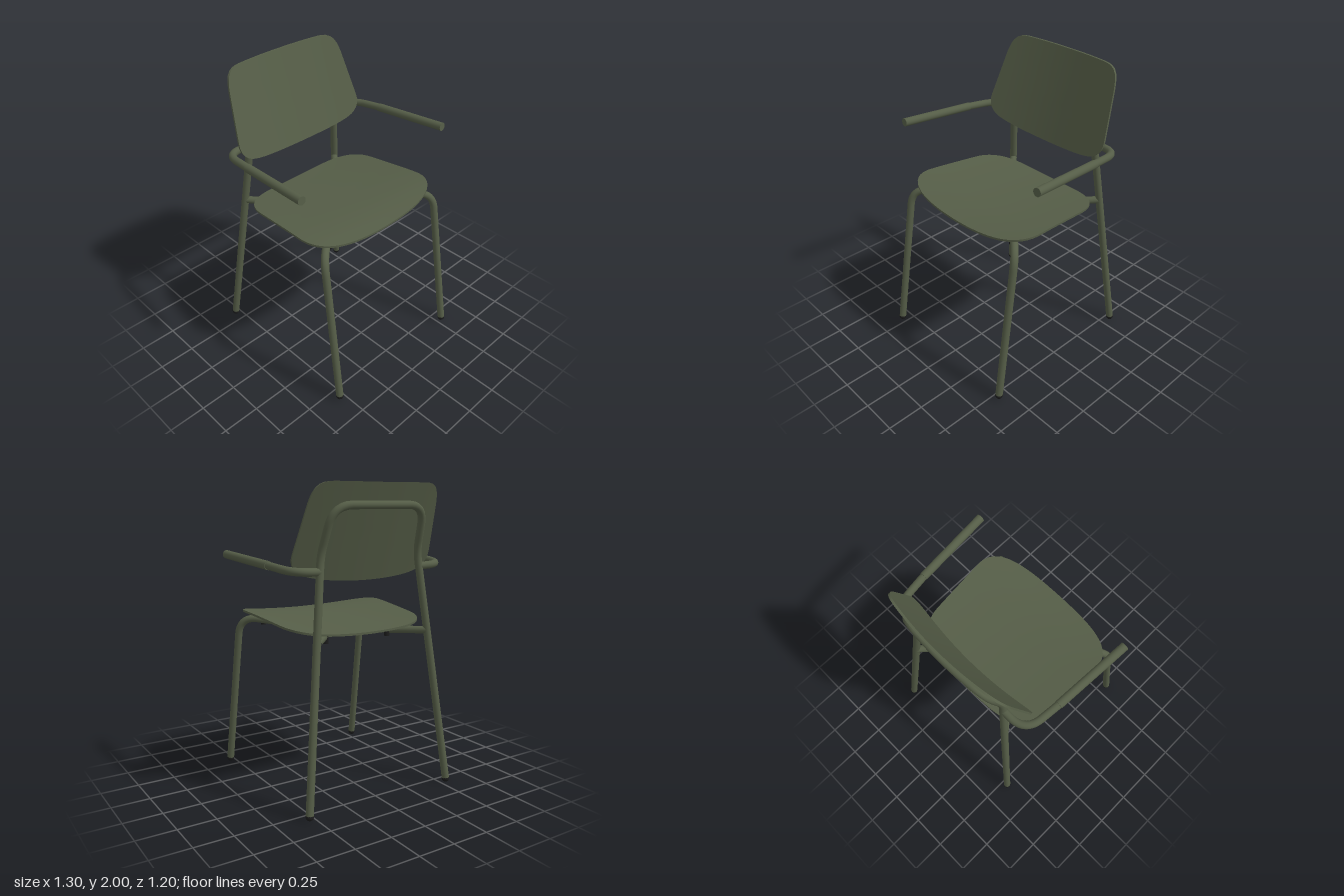
import * as THREE from 'three';
import { toCreasedNormals } from 'three/addons/utils/BufferGeometryUtils.js';
import { ParametricGeometry } from 'three/addons/geometries/ParametricGeometry.js';

const R = 0.025; // tube radius
const V = (x, y, z) => new THREE.Vector3(x, y, z);
const P = (x, y) => new THREE.Vector2(x, y);

const olive = new THREE.MeshStandardMaterial({ color: 0x555d47 });
const black = new THREE.MeshStandardMaterial({ color: 0x1c1c1c });

function add(group, name, geometry, material = olive) {
  const mesh = new THREE.Mesh(geometry, material);
  mesh.name = name;
  group.add(mesh);
  return mesh;
}

// Bent tube through corner points, each inner corner rounded by its bend length
function bentTube(points, bends) {
  const path = new THREE.CurvePath();
  let from = points[0];
  for (let i = 1; i < points.length - 1; i++) {
    const c = points[i];
    const toward = (p) => c.clone().add(p.clone().sub(c).setLength(bends[i - 1]));
    const a = toward(points[i - 1]), b = toward(points[i + 1]);
    path.add(new THREE.LineCurve3(from, a));
    path.add(new THREE.QuadraticBezierCurve3(a, c, b));
    from = b;
  }
  path.add(new THREE.LineCurve3(from, points[points.length - 1]));
  return new THREE.TubeGeometry(path, 140, R, 16);
}

// Capped straight rod between two points
function rod(a, b, radius) {
  const geo = new THREE.CylinderGeometry(radius, radius, a.distanceTo(b), 20);
  const dir = b.clone().sub(a).normalize();
  geo.applyQuaternion(new THREE.Quaternion().setFromUnitVectors(V(0, 1, 0), dir));
  const mid = a.clone().lerp(b, 0.5);
  return geo.translate(mid.x, mid.y, mid.z);
}

// Thin curved panel: half an outline is mirrored, filled with rings front and back,
// and place() bends each flat point (offset is the shift through the thickness)
function panel(curves, centre, place) {
  const half = new THREE.CurvePath();
  curves.forEach((c) => half.add(c));
  const pts = half.getSpacedPoints(48);
  const outline = [...pts, ...pts.slice(0, -1).reverse().map((p) => P(-p.x, p.y))];
  const n = outline.length - 1, rings = 7, rows = rings * 2 + 1;
  const geo = new ParametricGeometry((u, v, target) => {
    const p = outline[Math.round(u * n)];
    const row = Math.round(v * rows);
    const s = Math.min(row, rows - row) / rings;
    const offset = row <= rings ? -0.007 : 0.007;
    target.copy(place(p.x * s, centre + (p.y - centre) * s, offset));
  }, n, rows);
  return toCreasedNormals(geo, 0.6);
}

export function createModel() {
  const chair = new THREE.Group();
  chair.name = 'armchair';

  // Seat: outline in x and z, dished across and dropping to the back
  const seatLine = new THREE.SplineCurve([
    P(-0.43, 1.07), P(-0.2, 1.09), P(0, 1.108), P(0.2, 1.123), P(0.33, 1.126), P(0.47, 1.118)]);
  const seatHeight = (z) => seatLine.getPoint(THREE.MathUtils.clamp(
    z < 0 ? (z < -0.2 ? (z + 0.43) / 0.23 : 1 + (z + 0.2) / 0.2)
      : z < 0.2 ? 2 + z / 0.2 : z < 0.33 ? 3 + (z - 0.2) / 0.13 : 4 + (z - 0.33) / 0.14, 0, 5) / 5).y;
  add(chair, 'seat', panel([
    new THREE.CubicBezierCurve(P(0, 0.467), P(0.35, 0.467), P(0.56, 0.42), P(0.543, 0.22)),
    new THREE.LineCurve(P(0.543, 0.22), P(0.515, -0.18)),
    new THREE.CubicBezierCurve(P(0.515, -0.18), P(0.505, -0.32), P(0.42, -0.4), P(0.25, -0.415)),
    new THREE.QuadraticBezierCurve(P(0.25, -0.415), P(0.12, -0.425), P(0, -0.425)),
  ], 0, (x, z, o) => V(x, seatHeight(z) + 0.035 * (x / 0.54) ** 2 + o, z)));

  // Backrest: outline in x and y, leaning back and wrapping forward at the sides
  add(chair, 'backrest', panel([
    new THREE.CubicBezierCurve(P(0, 1.4), P(0.2, 1.4), P(0.36, 1.42), P(0.43, 1.445)),
    new THREE.CubicBezierCurve(P(0.43, 1.445), P(0.5, 1.47), P(0.53, 1.52), P(0.518, 1.58)),
    new THREE.LineCurve(P(0.518, 1.58), P(0.475, 1.87)),
    new THREE.CubicBezierCurve(P(0.475, 1.87), P(0.455, 1.98), P(0.42, 2), P(0.33, 2)),
    new THREE.LineCurve(P(0.33, 2), P(0, 1.998)),
  ], 1.7, (x, y, o) => V(x, y, -0.355 - (y - 1.4) * 0.335 + 0.058 * (x / 0.52) ** 2 + o)));

  // Rear legs and back hoop in one bent tube
  const rear = [V(0.54, 0.026, -0.573), V(0.365, 1.57, -0.424), V(0.335, 1.865, -0.52)];
  const mirrored = rear.map((p) => V(-p.x, p.y, p.z)).reverse();
  add(chair, 'rearFrame',
    bentTube([...rear, V(0, 1.865, -0.542), ...mirrored], [0.07, 0.13, 0.18, 0.13, 0.07]));

  for (const s of [1, -1]) {
    const side = s > 0 ? 'left' : 'right';

    // Front leg running under the seat to the middle, then out to the rear leg
    add(chair, side + 'FrontLeg', bentTube([
      V(0.54 * s, 0.026, 0.573), V(0.512 * s, 1.105, 0.405),
      V(0.02 * s, 1.03, 0), V(0.42 * s, 1.055, -0.472)], [0.13, 0.07]));

    // Arm tube with a thicker grip
    const gripStart = V(0.588 * s, 1.505, -0.185);
    add(chair, side + 'Arm', bentTube([
      V(0.375 * s, 1.475, -0.433), V(0.56 * s, 1.482, -0.44), gripStart], [0.13]));
    add(chair, side + 'ArmGrip', rod(gripStart, V(0.622 * s, 1.54, 0.35), 0.028));

    // Seat mounts
    add(chair, side + 'FrontMount', rod(V(0.38 * s, 1.05, 0.31), V(0.38 * s, 1.135, 0.31), 0.018), black);
    add(chair, side + 'RearMount', rod(V(0.24 * s, 1.003, -0.28), V(0.24 * s, 1.08, -0.28), 0.018), black);

    // Foot caps
    for (const z of [0.573, -0.573]) {
      const foot = add(chair, side + (z > 0 ? 'Front' : 'Rear') + 'Foot',
        new THREE.SphereGeometry(0.026, 18, 12), black);
      foot.position.set(0.54 * s, 0.026, z);
    }
  }
  return chair;
}
